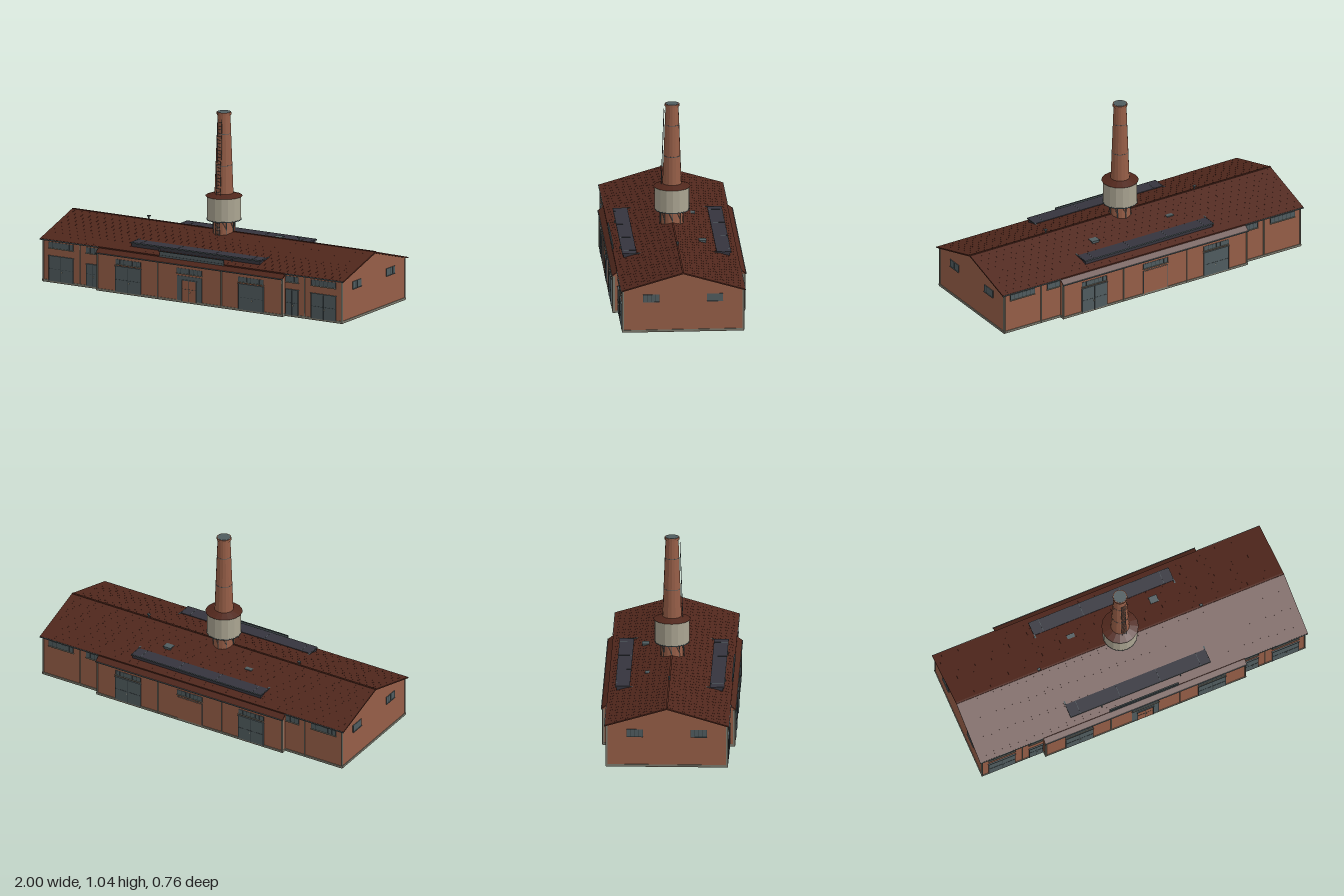
import * as THREE from 'three';
import { mergeGeometries } from 'three/addons/utils/BufferGeometryUtils.js';

const material = (name, color) => {
  const m = new THREE.MeshStandardMaterial({ color });
  m.name = name;
  return m;
};

export function createModel() {
  const brick = material('brick', 0x965e47);
  const roofRed = material('roofTile', 0x50271c);
  const slate = material('slatePaint', 0x505c5f);
  const trim = material('stoneTrim', 0x7c7a6d);
  const cream = material('tankCream', 0xaba592);
  const glass = material('skylightGlass', 0x35343d);
  const dark = material('darkIron', 0x363f42);
  const base = material('groundSlab', 0x6a6456);

  const model = new THREE.Group();
  model.name = 'factory';

  const add = (parent, name, geometry, mat, x = 0, y = 0, z = 0) => {
    const mesh = new THREE.Mesh(geometry, mat);
    mesh.name = name;
    mesh.position.set(x, y, z);
    parent.add(mesh);
    return mesh;
  };
  // Box given by its extents
  const block = (parent, name, mat, x0, x1, y0, y1, z0, z1) =>
    add(parent, name, new THREE.BoxGeometry(x1 - x0, y1 - y0, z1 - z0), mat,
      (x0 + x1) / 2, (y0 + y1) / 2, (z0 + z1) / 2);
  // Profile in (z, y) extruded along x
  const prism = (parent, name, mat, points, length) => {
    const shape = new THREE.Shape(points.map(p => new THREE.Vector2(p[0], p[1])));
    const g = new THREE.ExtrudeGeometry(shape, { depth: length, bevelEnabled: false });
    g.translate(0, 0, -length / 2).rotateY(Math.PI / 2);
    return add(parent, name, g, mat);
  };
  // Faceted drum between two heights
  const drum = (parent, name, mat, rTop, rBottom, y0, y1, sides = 16) => {
    const g = new THREE.CylinderGeometry(rTop, rBottom, y1 - y0, sides).toNonIndexed();
    g.computeVertexNormals();
    return add(parent, name, g, mat, 0, (y0 + y1) / 2, 0);
  };
  const rod = (parent, name, mat, a, b, r) => {
    const p = new THREE.Vector3(...a), q = new THREE.Vector3(...b);
    const mesh = add(parent, name, new THREE.CylinderGeometry(r, r, p.distanceTo(q), 6), mat);
    mesh.position.copy(p).lerp(q, 0.5);
    mesh.quaternion.setFromUnitVectors(new THREE.Vector3(0, 1, 0), q.sub(p).normalize());
    return mesh;
  };

  // Ground slab and plinth
  block(model, 'slab', base, -0.988, 0.988, 0, 0.005, -0.343, 0.343);
  block(model, 'middleSlab', base, -0.613, 0.613, 0, 0.0045, -0.373, 0.373);
  block(model, 'plinth', trim, -0.989, 0.989, 0.004, 0.014, -0.344, 0.344);
  block(model, 'middlePlinth', trim, -0.614, 0.614, 0.0035, 0.0135, -0.374, 0.374);

  // Brick walls
  prism(model, 'mainHall', brick,
    [[-0.34, 0.006], [0.34, 0.006], [0.34, 0.243], [0, 0.341], [-0.34, 0.243]], 1.97);
  prism(model, 'middleBay', brick,
    [[-0.37, 0.006], [0.37, 0.006], [0.37, 0.216], [0.34, 0.239], [-0.34, 0.239], [-0.37, 0.216]], 1.22);

  // Roofs
  prism(model, 'mainRoof', roofRed,
    [[-0.349, 0.241], [0, 0.342], [0.349, 0.241], [0.349, 0.248], [0, 0.35], [-0.349, 0.248]], 2);
  for (const s of [1, -1]) {
    prism(model, 'bayRoof', roofRed, s > 0
      ? [[0.335, 0.242], [0.378, 0.213], [0.378, 0.219], [0.335, 0.251]]
      : [[-0.335, 0.251], [-0.378, 0.219], [-0.378, 0.213], [-0.335, 0.242]], 1.23);
  }
  block(model, 'ridgeCap', roofRed, -1, 1, 0.346, 0.352, -0.005, 0.005);

  // Staggered tile ribs, barely proud of the roof
  const slope = Math.atan2(0.102, 0.349);
  const ribs = [];
  for (const s of [1, -1]) {
    for (let row = 0; row < 10; row++) {
      const z = 0.025 + row * 0.033;
      for (let i = 0; i < 40; i++) {
        const x = -0.975 + i * 0.049 + (row % 2) * 0.0245;
        const g = new THREE.BoxGeometry(0.003, 0.002, 0.022);
        g.rotateX(s * slope).translate(x, 0.3497 - z * 0.2923, s * z);
        ribs.push(g);
      }
    }
  }
  add(model, 'tileRibs', mergeGeometries(ribs), roofRed);

  // Wall openings, placed on the front (s = 1) or back (s = -1)
  const plate = (g, name, mat, x0, x1, y0, y1, z, d, s) =>
    block(g, name, mat, x0, x1, y0, y1, Math.min(s * z, s * (z + d)), Math.max(s * z, s * (z + d)));
  const windowAt = (g, x0, x1, y0, y1, z, s, panes = 5) => {
    plate(g, 'windowPane', slate, x0, x1, y0, y1, z, 0.002, s);
    for (let i = 0; i <= panes; i++) {
      const x = x0 + (x1 - x0) * i / panes;
      plate(g, 'windowBar', dark, x - 0.0007, x + 0.0007, y0, y1, z, 0.004, s);
    }
    plate(g, 'windowSill', trim, x0 - 0.003, x1 + 0.003, y0 - 0.004, y0, z, 0.007, s);
  };
  const doorAt = (g, x0, x1, top, z, s, mat = slate) => {
    const mid = (x0 + x1) / 2;
    plate(g, 'doorLeaf', mat, x0, x1, 0.01, top, z, 0.005, s);
    plate(g, 'doorSeam', dark, mid - 0.0007, mid + 0.0007, 0.01, top, z, 0.006, s);
    plate(g, 'doorRail', dark, x0, x1, 0.08, 0.0815, z, 0.006, s);
    plate(g, 'doorHead', slate, x0 - 0.004, x1 + 0.004, top, top + 0.004, z, 0.008, s);
    for (const x of [x0, x1]) plate(g, 'doorJamb', slate, x - 0.0015, x + 0.0015, 0.01, top, z, 0.007, s);
    plate(g, 'doorHandle', cream, mid + 0.004, mid + 0.008, 0.062, 0.07, z, 0.008, s);
  };

  for (const s of [1, -1]) {
    const g = new THREE.Group();
    g.name = s > 0 ? 'frontWall' : 'backWall';
    model.add(g);
    for (const m of [1, -1]) {
      const span = (a, b) => m > 0 ? [a, b] : [-b, -a];
      // Outer wings
      windowAt(g, ...span(0.785, 0.945), 0.2, 0.233, 0.34, s, 6);
      windowAt(g, ...span(0.618, 0.7), 0.2, 0.233, 0.34, s, 3);
      if (s > 0) {
        doorAt(g, ...span(0.785, 0.945), 0.152, 0.34, s);
        doorAt(g, ...span(0.618, 0.697), m > 0 ? 0.155 : 0.135, 0.34, s);
      }
      // Middle bay doors
      doorAt(g, ...span(0.323, 0.487), 0.155, 0.37, s);
      windowAt(g, ...span(0.323, 0.487), 0.169, 0.197, 0.37, s, 6);
      // Downpipes and bay corner strips
      for (const [x, z, top] of [[0.983, 0.342, 0.243], [0.74, 0.342, 0.243], [0.607, 0.372, 0.216], [0.21, 0.372, 0.216]])
        rod(g, 'downpipe', trim, [m * x, 0.005, s * z], [m * x, top, s * z], 0.0033);
      block(g, 'bayCorner', trim, m * 0.611 - 0.002, m * 0.611 + 0.002, 0.013, 0.214, s * 0.366 - 0.005, s * 0.366 + 0.005);
      block(g, 'wingGutter', slate, ...span(0.615, 1), 0.241, 0.247, s * 0.349 - 0.0035, s * 0.349 + 0.0035);
    }
    block(g, 'bayGutter', slate, -0.617, 0.617, 0.214, 0.2195, s * 0.378 - 0.0035, s * 0.378 + 0.0035);
    // Central entrance
    if (s > 0) {
      plate(g, 'entranceSurround', slate, -0.083, 0.08, 0.01, 0.155, 0.37, 0.003, s);
      doorAt(g, -0.05, 0.045, 0.13, 0.371, s, brick);
    } else {
      plate(g, 'closedGateFrame', slate, -0.083, 0.08, 0.01, 0.155, 0.37, 0.002, s);
      plate(g, 'closedGate', brick, -0.08, 0.077, 0.01, 0.152, 0.37, 0.004, s);
    }
    windowAt(g, -0.083, 0.08, 0.169, 0.198, 0.37, s, 6);

    // Long skylight monitor
    const sky = new THREE.Group();
    sky.name = 'skylight';
    model.add(sky);
    plate(sky, 'skylightCurb', glass, -0.425, 0.42, 0.255, 0.281, 0.23, 0.07, s);
    plate(sky, 'skylightTop', glass, -0.43, 0.425, 0.281, 0.288, 0.225, 0.08, s);
    for (const x of [-0.428, -0.37, -0.125, 0.12, 0.365, 0.423])
      plate(sky, 'skylightBar', slate, x - 0.001, x + 0.001, 0.281, 0.289, 0.225, 0.081, s);
    plate(sky, 'skylightEdge', slate, -0.43, 0.425, 0.281, 0.2885, 0.305, 0.002, s);
    for (const x of [-0.428, 0.423]) block(sky, 'skylightBracket', slate, x - 0.004, x + 0.004, 0.28, 0.29, s * 0.21 - 0.014, s * 0.21 + 0.014);
  }

  // Blank signboard on the front eave
  block(model, 'signboard', slate, -0.21, 0.21, 0.225, 0.272, 0.344, 0.35);
  for (const y of [0.225, 0.25, 0.271]) block(model, 'signRail', dark, -0.211, 0.211, y - 0.0015, y + 0.0015, 0.343, 0.3515);
  for (const x of [-0.24, 0.24]) rod(model, 'signPost', slate, [x, 0.25, 0.307], [x, 0.275, 0.307], 0.004);

  // Gable windows and corner strips
  for (const e of [1, -1]) {
    const gable = new THREE.Group();
    gable.name = 'gableEnd';
    model.add(gable);
    for (const c of [0.18, -0.18]) {
      add(gable, 'gableWindow', new THREE.BoxGeometry(0.006, 0.042, 0.09), slate, e * 0.986, 0.2, c);
      add(gable, 'gableSill', new THREE.BoxGeometry(0.012, 0.003, 0.092), slate, e * 0.987, 0.178, c);
      for (let i = -2; i <= 2; i++)
        add(gable, 'gableBar', new THREE.BoxGeometry(0.007, 0.042, 0.001), dark, e * 0.986, 0.2, c + i * 0.0225);
    }
    for (const z of [0.338, -0.338])
      add(gable, 'cornerStrip', new THREE.BoxGeometry(0.008, 0.23, 0.009), trim, e * 0.984, 0.125, z);
    // Ridge finial
    rod(model, 'finial', slate, [e * 0.495, 0.345, 0], [e * 0.495, 0.373, 0], 0.004);
    add(model, 'finialCap', new THREE.BoxGeometry(0.018, 0.005, 0.014), slate, e * 0.495, 0.37, 0);
  }

  // Rear roof vents
  for (const [x, z, w, d] of [[-0.245, -0.13, 0.045, 0.03], [0.27, -0.155, 0.05, 0.042]]) {
    block(model, 'roofVent', slate, x - w * 0.42, x + w * 0.42, 0.28, 0.312, z - d * 0.42, z + d * 0.42);
    block(model, 'ventCap', slate, x - w / 2, x + w / 2, 0.311, 0.315, z - d / 2, z + d / 2);
  }

  // Chimney stack with water tank
  const stack = new THREE.Group();
  stack.name = 'chimney';
  model.add(stack);
  drum(stack, 'chimneyShaft', brick, 0.0365, 0.064, 0.3, 1.022);
  drum(stack, 'chimneyCap', brick, 0.0415, 0.0415, 1.02, 1.034);
  drum(stack, 'flue', slate, 0.037, 0.037, 1.03, 1.0355);
  for (const y of [0.73, 0.912]) {
    const r = 0.0646 - (y - 0.3) * 0.0381;
    drum(stack, 'ironBand', slate, r, r, y - 0.0015, y + 0.0015);
  }
  drum(stack, 'tank', cream, 0.098, 0.098, 0.417, 0.552);
  drum(stack, 'tankFloor', slate, 0.0995, 0.0995, 0.413, 0.418);
  drum(stack, 'tankRoof', roofRed, 0.054, 0.105, 0.55, 0.567);
  // Crossed braces hugging the stack below the tank
  for (let i = 0; i < 8; i++) {
    const at = (k, r, y) => [Math.cos(k * Math.PI / 4) * r, y, Math.sin(k * Math.PI / 4) * r];
    rod(stack, 'tankLeg', slate, at(i, 0.063, 0.33), at(i, 0.062, 0.415), 0.002);
    rod(stack, 'tankBrace', slate, at(i, 0.064, 0.36), at(i + 0.5, 0.0635, 0.41), 0.0015);
  }

  // Ladder up the front of the stack
  const ladderZ = y => 0.07 - (y - 0.3) * 0.0355;
  for (const x of [-0.013, 0.013])
    rod(stack, 'ladderRail', slate, [x, 0.3, ladderZ(0.3)], [x, 1.0, ladderZ(1.0)], 0.0013);
  for (let y = 0.32; y < 1; y += 0.02)
    rod(stack, 'ladderRung', slate, [-0.013, y, ladderZ(y)], [0.013, y, ladderZ(y)], 0.0012);

  return model;
}
